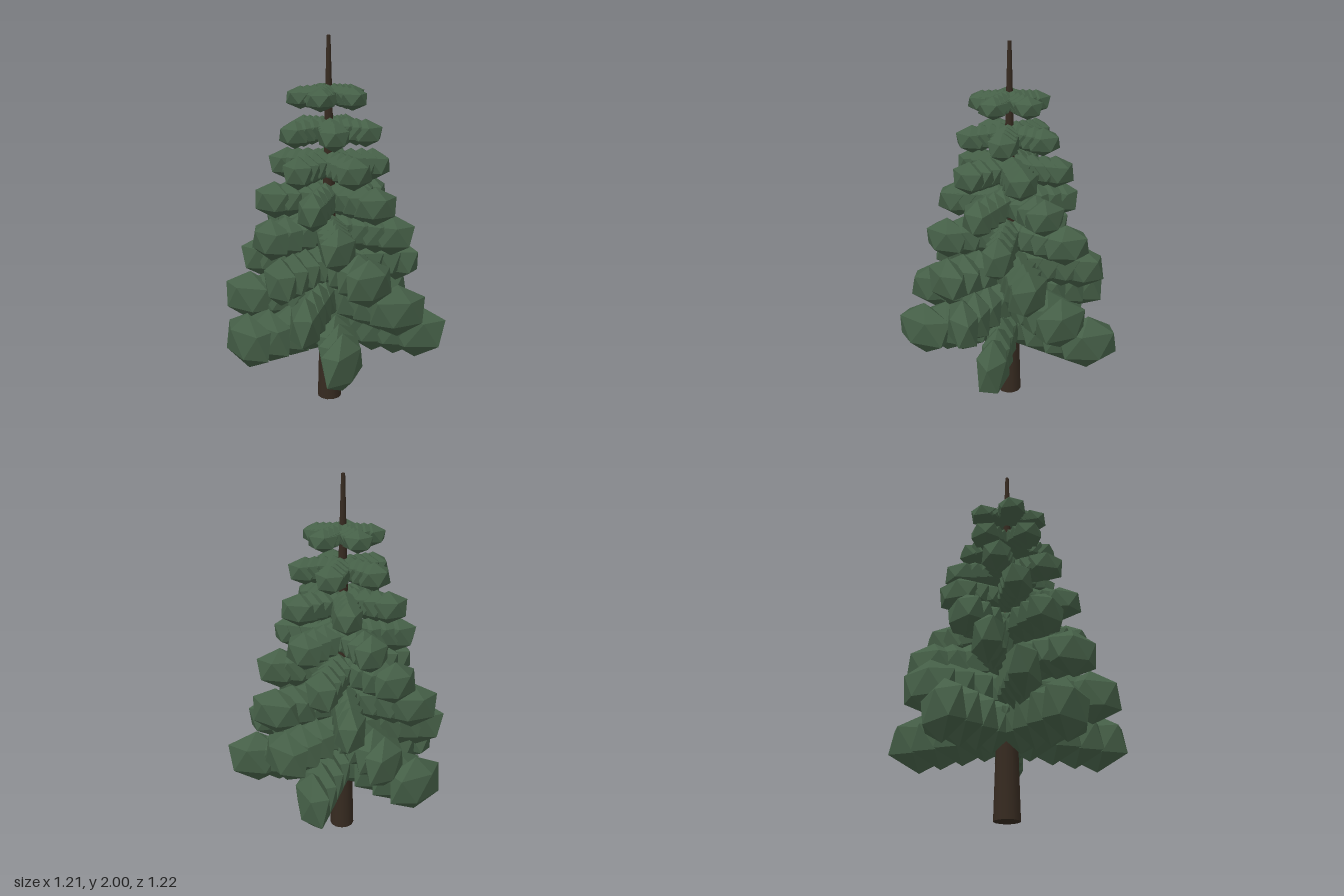
import * as THREE from 'three';
import { ConvexGeometry } from 'three/addons/geometries/ConvexGeometry.js';

const TIERS = 8, BRANCHES = 5, CLUMPS = 4;
const lerp = THREE.MathUtils.lerp;

// Unit icosahedron standing on a vertex, with an upper ring point on +x
function clumpGeometry() {
  const points = [new THREE.Vector3(0, 1, 0), new THREE.Vector3(0, -1, 0)];
  for (let i = 0; i < 10; i++) {
    const a = i * Math.PI / 5;
    points.push(new THREE.Vector3(0.894 * Math.cos(a), i % 2 ? -0.447 : 0.447, 0.894 * Math.sin(a)));
  }
  return new ConvexGeometry(points);
}

export function createModel() {
  const needles = new THREE.MeshStandardMaterial({ color: 0x455f47 });
  needles.name = 'needle green';
  const bark = new THREE.MeshStandardMaterial({ color: 0x362a20 });
  bark.name = 'bark brown';

  const tree = new THREE.Group();
  tree.name = 'conifer';
  tree.position.x = -0.036;

  // Tapered trunk reaching past the top tier
  const trunk = new THREE.Mesh(new THREE.CylinderGeometry(0.01, 0.067, 2, 12), bark);
  trunk.name = 'trunk';
  trunk.position.y = 1;
  tree.add(trunk);

  // Tiers of branches, each turned 24 degrees from the one below
  const geometry = clumpGeometry();
  for (let tier = 0; tier < TIERS; tier++) {
    const k = tier / (TIERS - 1);
    const group = new THREE.Group();
    group.name = `tier${tier + 1}`;
    group.position.y = lerp(0.43, 1.69, k);
    const reach = lerp(0.478, 0.145, k);
    const size = [lerp(0.183, 0.084, k), lerp(0.157, 0.06, k), lerp(0.09, 0.084, k)];

    for (let b = 0; b < BRANCHES; b++) {
      const angle = THREE.MathUtils.degToRad(tier * 24 + b * 72);
      // Overlapping needle clumps from the trunk out to the tip
      for (let c = 1; c <= CLUMPS; c++) {
        const t = c / CLUMPS;
        const clump = new THREE.Mesh(geometry, needles);
        clump.name = 'needleClump';
        clump.position.set(reach * t * Math.cos(angle), 0.02 * (1 - t), reach * t * Math.sin(angle));
        clump.rotation.y = angle;
        clump.scale.set(...size).multiplyScalar(lerp(0.88, 1, t));
        group.add(clump);
      }
    }
    tree.add(group);
  }

  const model = new THREE.Group();
  model.name = 'tree';
  model.add(tree);
  return model;
}
